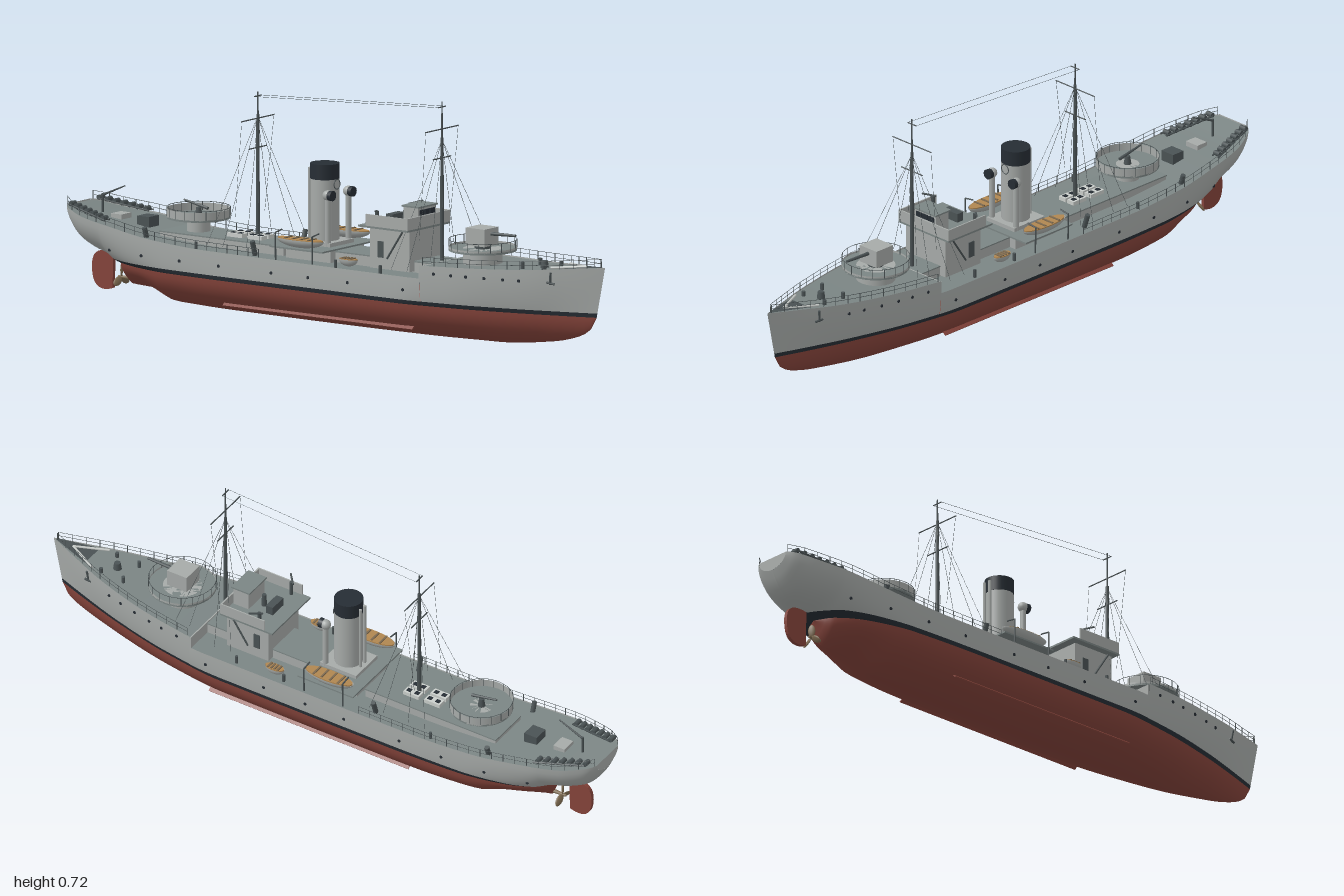
import * as THREE from 'three';

const mat = (name, color, side = THREE.FrontSide) => {
  const m = new THREE.MeshStandardMaterial({ color, side });
  m.name = name;
  return m;
};
const V = (x, y, z) => new THREE.Vector3(x, y, z);

// Monotone smooth curve through [x, value] points
function curve(pts) {
  const n = pts.length;
  const d = pts.slice(1).map((p, i) => (p[1] - pts[i][1]) / (p[0] - pts[i][0]));
  const tan = pts.map((p, i) => {
    if (i === 0) return d[0];
    if (i === n - 1) return d[n - 2];
    return d[i - 1] * d[i] <= 0 ? 0 : 2 * d[i - 1] * d[i] / (d[i - 1] + d[i]);
  });
  return x => {
    if (x <= pts[0][0]) return pts[0][1];
    if (x >= pts[n - 1][0]) return pts[n - 1][1];
    const i = pts.findIndex(p => p[0] > x) - 1;
    const h = pts[i + 1][0] - pts[i][0], t = (x - pts[i][0]) / h, u = 1 - t;
    return pts[i][1] * (1 + 2 * t) * u * u + pts[i + 1][1] * t * t * (3 - 2 * t) + h * (tan[i] * t * u * u - tan[i + 1] * t * t * u);
  };
}

export function createModel() {
  const ship = new THREE.Group();
  ship.name = 'escortShip';
  const grey = mat('hullGrey', 0xa6aaa8, THREE.DoubleSide), deckM = mat('deckGrey', 0x7b8584, THREE.DoubleSide);
  const red = mat('antifoulingRed', 0x84433a, THREE.DoubleSide), black = mat('bootBlack', 0x262d34, THREE.DoubleSide);
  const tan = mat('boatTan', 0xb08650), dark = mat('fittingDark', 0x4a5254), light = mat('skylightPale', 0xc9cdca), bronze = mat('bronze', 0x7d6a50);

  // Helpers
  const add = (name, geo, m, x = 0, y = 0, z = 0) => {
    const mesh = new THREE.Mesh(geo, m);
    mesh.name = name;
    mesh.position.set(x, y, z);
    ship.add(mesh);
    return mesh;
  };
  const box = (name, m, x0, x1, y0, y1, z0, z1) =>
    add(name, new THREE.BoxGeometry(x1 - x0, y1 - y0, z1 - z0), m, (x0 + x1) / 2, (y0 + y1) / 2, (z0 + z1) / 2);
  const cyl = (name, m, x, z, y0, y1, r0, r1 = r0, n = 24) =>
    add(name, new THREE.CylinderGeometry(r1, r0, y1 - y0, n), m, x, (y0 + y1) / 2, z);
  const rod = (name, m, a, b, r, r1 = r, n = 6) => {
    const mesh = add(name, new THREE.CylinderGeometry(r1, r, a.distanceTo(b), n), m);
    mesh.position.copy(a).lerp(b, 0.5);
    mesh.quaternion.setFromUnitVectors(V(0, 1, 0), b.clone().sub(a).normalize());
    return mesh;
  };
  const both = f => [1, -1].forEach(f);
  const grid = (name, m, us, nv, fn) => {
    const pos = [], idx = [], w = nv + 1;
    us.forEach((u, i) => {
      for (let j = 0; j <= nv; j++) {
        pos.push(...fn(u, j / nv));
        if (i && j) {
          const c = i * w + j, a = c - w - 1, b = c - 1, d = c - w;
          idx.push(a, b, c, a, c, d);
        }
      }
    });
    const g = new THREE.BufferGeometry();
    g.setAttribute('position', new THREE.Float32BufferAttribute(pos, 3));
    g.setIndex(idx);
    g.computeVertexNormals();
    return add(name, g, m);
  };
  const span = (a, b, n) => Array.from({ length: n + 1 }, (_, i) => a + (b - a) * i / n);

  // Hull lines
  const keel = curve([[-1, .232], [-.985, .2], [-.95, .16], [-.9, .138], [-.83, .115], [-.8, .04], [-.7, .034], [-.65, .02], [-.6, .003], [0, 0], [.6, .004], [.8, .025], [.9, .05], [.95, .08], [.968, .115]]);
  const water = curve([[-.83, 0], [-.8, .055], [-.7, .115], [-.55, .148], [-.3, .156], [.3, .154], [.5, .13], [.7, .085], [.85, .04], [.968, 0]]);
  const beam = curve([[-1, .06], [-.985, .08], [-.95, .1], [-.9, .12], [-.8, .141], [-.6, .157], [-.4, .16], [.35, .16], [.5, .145], [.6, .128], [.7, .104], [.8, .075], [.9, .038], [1, 0]]);
  const mainTop = curve([[-1, .272], [-.9, .25], [-.8, .238], [-.6, .213], [-.4, .203], [.41, .2]]);
  const foreTop = curve([[.41, .24], [.7, .25], [1, .272]]);
  const under = curve([[-.83, 1.2], [-.6, .65], [-.4, .5], [.4, .5], [.7, .65], [.968, .8]]);
  const over = curve([[-.6, .5], [.4, .6], [.968, 1.15]]);
  const top = x => x < .41 ? mainTop(x) : foreTop(x);
  const rake = x => .032 * Math.max(0, (x - .7) / .268) ** 2;
  const WL = .115, BOOT = .128;
  const round = (t, p) => Math.max(0, t * (2 - t)) ** p;
  const lower = (x, t) => {
    const k = keel(x), y = k + (WL - k) * (1 - Math.cos(t * Math.PI / 2));
    return [x, y, water(x) * round((y - k) / (WL - k + 1e-9), under(x))];
  };
  const upper = (x, y) => {
    const k = Math.max(WL, keel(x)), h = top(x + rake(x)), t = Math.min(1, Math.max(0, (y - k) / (h - k)));
    const w = water(x), xx = x + rake(x) * t;
    return [xx, y, w + (beam(x + rake(x)) - w) * round(t, over(x))];
  };
  const band = (x, t, lo, hi) => {
    const a = Math.max(lo, keel(x)), b = Math.max(a, hi);
    return upper(x, a + (b - a) * t * t);
  };
  const aft = [...span(-1, -.83, 16), ...span(-.82, .4099, 56)], fore = span(.41, .968, 30);

  // Hull plating
  grid('hullBottom', red, [...span(-.83, -.78, 6), ...span(-.76, .968, 80)], 24, (x, v) => {
    const s = v * 2 - 1, p = lower(x, Math.abs(s));
    return [p[0], p[1], p[2] * Math.sign(s)];
  });
  both(s => {
    const side = (name, m, us, n, lo, hi) => grid(name, m, us, n, (x, v) => {
      const p = band(x, s > 0 ? v : 1 - v, lo, hi(x));
      return [p[0], p[1], p[2] * s];
    });
    side('bootTopping', black, [...aft, ...fore], 2, WL, () => BOOT);
    side('mainHullSide', grey, aft, 12, BOOT, x => top(x));
    side('forecastleSide', grey, fore, 12, BOOT, x => top(x + rake(x)));
  });
  grid('transom', grey, span(-1, 1, 8), 8, (u, v) => {
    const p = band(-1, v, BOOT, top(-1));
    return [p[0], p[1], p[2] * u];
  });
  [['mainDeck', aft], ['forecastleDeck', fore]].forEach(([name, us]) => grid(name, deckM, us, 2, (x, v) => {
    const d = x + rake(x);
    return [d, top(d) - .004, beam(d) * .995 * (1 - 2 * v)];
  }));
  grid('bowPlate', dark, span(.86, .99, 6), 2, (x, v) => [x, top(x) + .001, beam(x) * .8 * (1 - 2 * v)]);
  box('forecastleBulkhead', grey, .406, .412, .19, .236, -.154, .154);
  both(s => rod('breakwater', light, V(.93, .268, 0), V(.83, .262, s * .05), .004));

  // Rudder, propeller and bilge keels
  const rs = new THREE.Shape();
  rs.moveTo(-.865, .13);
  rs.bezierCurveTo(-.93, .14, -.952, .12, -.945, .06);
  rs.bezierCurveTo(-.94, .01, -.9, .005, -.868, .018);
  rs.closePath();
  add('rudder', new THREE.ExtrudeGeometry(rs, { depth: .012, bevelEnabled: false, curveSegments: 10 }), red, 0, 0, -.006);
  rod('propellerShaft', bronze, V(-.78, .055, 0), V(-.85, .055, 0), .008, .004, 10);
  for (let i = 0; i < 3; i++) {
    const blade = add('propellerBlade', new THREE.SphereGeometry(1, 10, 8), bronze);
    const a = i * Math.PI * 2 / 3;
    blade.scale.set(.004, .021, .012);
    blade.position.set(-.838, .055 + Math.cos(a) * .022, Math.sin(a) * .022);
    blade.rotation.set(a, .5, 0, 'XYZ');
  }
  both(s => { box('bilgeKeel', red, -.36, .36, .036, .04, s * .118 - .009, s * .118 + .009).rotation.x = s * .7; });

  // Portholes and anchors
  both(s => {
    const hole = (x, y) => {
      const p = upper(x, y);
      add('porthole', new THREE.CylinderGeometry(.005, .005, .004, 10), black, p[0], y, s * p[2]).rotation.x = Math.PI / 2;
    };
    [-.79, -.65, -.5, -.35, -.15, -.01, .14, .35].forEach(x => hole(x, .16));
    [.46, .52, .57, .63, .69, .74].forEach(x => hole(x, .218));
    const p = upper(.84, .23);
    rod('anchorShank', dark, V(.84, .25, s * (p[2] + .006)), V(.835, .212, s * (p[2] + .002)), .004);
    rod('anchorFlukes', dark, V(.825, .218, s * (p[2] + .006)), V(.85, .214, s * p[2]), .004);
  });

  // Railings following the deck edge
  const rail = (x0, x1, n) => both(s => {
    const pts = span(x0, x1, n).map(x => V(x, top(x), s * (beam(x) - .003)));
    pts.forEach((p, i) => {
      rod('railPost', dark, p, p.clone().setY(p.y + .026), .0013, .0013, 4);
      if (i) [.013, .026].forEach(h => rod('railWire', dark, V(pts[i - 1].x, pts[i - 1].y + h, pts[i - 1].z), V(p.x, p.y + h, p.z), .0008, .0008, 4));
    });
  });
  rail(.42, .985, 14);
  rail(-.995, -.2, 20);

  // Deckhouses
  box('engineCasing', grey, -.64, -.17, .19, .224, -.07, .07);
  box('engineCasingRoof', deckM, -.642, -.17, .224, .228, -.072, .072);
  [-.385, -.31].forEach(x => both(s => {
    box('skylight', light, x - .028, x + .028, .228, .24, s * .018 - .014, s * .018 + .014);
    [-.014, .014].forEach(o => box('skylightPane', black, x + o - .007, x + o + .007, .24, .242, s * .018 - .007, s * .018 + .007));
  }));
  box('boilerHouse', grey, -.15, .02, .19, .235, -.085, .085);
  box('boatDeck', deckM, -.17, .03, .235, .24, -.14, .14);
  box('funnelBase', grey, -.13, 0, .24, .252, -.06, .06);
  box('midHouse', grey, .02, .41, .19, .228, -.06, .06);
  box('midHouseRoof', deckM, .02, .406, .228, .232, -.062, .062);

  // Funnel and ventilators
  cyl('funnel', grey, -.065, 0, .24, .44, .044, .044, 32);
  cyl('funnelCap', black, -.065, 0, .44, .487, .045, .045, 32);
  both(s => {
    cyl('steamPipe', grey, -.115, s * .012, .24, .47, .005, .005, 8);
    cyl('ventilator', grey, -.015, s * .052, .235, .395, .009, .009, 12);
    const cowl = add('ventCowl', new THREE.SphereGeometry(.017, 14, 10), grey, -.015, .398, s * .052);
    cowl.scale.set(1, .95, .95);
    rod('cowlMouth', black, V(-.01, .398, s * .052), V(.005, .398, s * .052), .015, .016, 14);
  });
  add('whistleRing', new THREE.TorusGeometry(.015, .0015, 6, 20), dark, -.019, .425, 0).rotation.y = Math.PI / 2;

  // Boats and life rafts
  const boat = (name, x, y, z, l, w, h) => {
    const hullG = new THREE.SphereGeometry(1, 20, 8, 0, Math.PI * 2, Math.PI / 2, Math.PI / 2);
    add(name, hullG, grey, x, y, z).scale.set(l, h, w);
    add(name + 'Interior', new THREE.CylinderGeometry(1, 1, 1, 20), tan, x, y, z).scale.set(l * .95, .004, w * .92);
    [-.5, -.17, .17, .5].forEach(o => box('thwart', bronze, x + o * l - .003, x + o * l + .003, y + .001, y + .005, z - w * .75, z + w * .75));
  };
  both(s => {
    boat('lifeboat', -.07, .266, s * .118, .088, .028, .026);
    boat('dinghy', .12, .226, s * .128, .034, .017, .022);
    [-.14, 0].forEach(x => {
      rod('davit', dark, V(x, .2, s * .15), V(x, .285, s * .152), .0025);
      rod('davitArm', dark, V(x, .285, s * .152), V(x, .29, s * .118), .0025);
    });
  });

  // Bridge
  box('bridgeHouse', grey, .17, .32, .2, .328, -.085, .085);
  box('bridgeDeck', deckM, .142, .33, .326, .332, -.108, .108);
  box('bridgeFront', grey, .325, .33, .332, .368, -.108, .108);
  both(s => {
    box('bridgeWing', grey, .17, .33, .332, .368, s * .106 - .002, s * .106 + .002);
    box('houseDoor', dark, .2, .222, .235, .285, s * .085 - .003, s * .085 + .003);
    rod('bridgeLadder', dark, V(.24, .235, s * .092), V(.3, .325, s * .092), .003);
    rod('wingGunMount', dark, V(.2, .33, s * .09), V(.2, .378, s * .09), .006);
    rod('wingGun', dark, V(.19, .375, s * .085), V(.22, .384, s * .118), .003);
  });
  box('wheelhouse', grey, .268, .322, .332, .392, -.045, .045);
  box('wheelhouseRoof', deckM, .262, .328, .392, .397, -.049, .049);
  [-.026, 0, .026].forEach(z => box('bridgeWindow', black, .32, .325, .369, .385, z - .011, z + .011));
  box('chartTable', dark, .19, .215, .332, .36, -.03, .03);
  cyl('compass', dark, .24, 0, .332, .372, .009, .007, 10);

  // Gun platforms: disc, rim and rail
  const platform = (name, x, y, r, base, rBase, wall) => {
    cyl(name + 'Support', grey, x, 0, base, y, rBase);
    cyl(name + 'Floor', deckM, x, 0, y - .006, y, r, r, 36);
    add(name + 'Rim', new THREE.CylinderGeometry(r, r, wall, 36, 1, true), grey, x, y - .006 + wall / 2, 0);
    for (let i = 0; i < 18; i++) {
      const a = i * Math.PI / 9, c = Math.cos(a) * r, s = Math.sin(a) * r;
      rod(name + 'Post', dark, V(x + c, y, s), V(x + c, y + .028, s), .0013, .0013, 4);
    }
    add(name + 'Rail', new THREE.TorusGeometry(r, .001, 4, 36), dark, x, y + .028, 0).rotation.x = Math.PI / 2;
  };
  platform('foreGunPlatform', .535, .286, .104, .236, .06, .012);
  box('gunShield', grey, .497, .568, .296, .35, -.036, .036);
  cyl('gunPivot', dark, .535, 0, .286, .3, .025);
  rod('gunBarrel', dark, V(.56, .333, 0), V(.66, .336, 0), .006, .004, 10);
  platform('aftGunPlatform', -.545, .274, .097, .22, .036, .03);
  cyl('aftGunPivot', dark, -.545, 0, .274, .3, .012, .008, 10);
  rod('aftGunBarrel', dark, V(-.51, .3, 0), V(-.6, .318, 0), .005, .003, 8);

  // Masts, yards and rigging
  const mast = (name, x, h, yards) => {
    rod(name, dark, V(x, .2, 0), V(x, .61, 0), .007, .005, 10);
    rod(name + 'Topmast', dark, V(x, .6, 0), V(x, h, 0), .003, .002, 8);
    yards.forEach(([y, l]) => rod(name + 'Yard', dark, V(x, y, -l), V(x, y, l), .002));
    both(s => {
      [-.1, -.04, .05, .1].forEach(o => rod('shroud', dark, V(x, .605, 0), V(x + o, top(x + o) + .01, s * .125), .0006, .0006, 4));
      rod('halyard', dark, V(x, yards[0][0], s * .082), V(x - .03, .3, s * .075), .0005, .0005, 4);
    });
  };
  mast('foremast', .38, .722, [[.637, .083], [.548, .045], [.705, .018]]);
  mast('mainmast', -.32, .68, [[.598, .083], [.508, .045], [.667, .018]]);
  both(s => rod('aerialWire', dark, V(-.32, .667, s * .018), V(.38, .705, s * .018), .0006, .0006, 4));

  // Stern gear: charge racks, throwers, winch, boom
  both(s => {
    const a = V(-.97, .275, s * .072), b = V(-.81, .248, s * .112);
    [-.012, .012].forEach(o => rod('chargeRackRail', dark, a.clone().setZ(a.z + o), b.clone().setZ(b.z + o), .003));
    for (let i = 0; i < 7; i++) {
      const p = a.clone().lerp(b, i / 6.5);
      rod('depthCharge', dark, V(p.x, p.y + .003, p.z - .012), V(p.x, p.y + .003, p.z + .012), .008, .008, 10);
    }
    [-.65, -.24].forEach(x => rod('chargeThrower', dark, V(x, .2, s * .12), V(x, .245, s * .135), .008, .008, 8));
    [-.45, .25, .08].forEach(x => cyl('mooringBollard', dark, x, s * .14, .195, .222, .005, .005, 8));
    [.72, .8].forEach(x => cyl('foreBollard', dark, x, s * .045, .245, .268, .006, .006, 8));
  });
  box('sternWinch', dark, -.76, -.715, .22, .255, -.025, .025);
  box('sternHatch', grey, -.86, -.82, .235, .252, -.025, .025);
  rod('boomPost', dark, V(-.91, .245, 0), V(-.91, .305, 0), .004);
  rod('sternBoom', dark, V(-.91, .3, 0), V(-.825, .337, 0), .004, .002);
  cyl('windlass', dark, .77, 0, .245, .272, .014, .01, 12);
  cyl('jackstaff', dark, .985, 0, .265, .29, .0015, .0015, 5);
  return ship;
}
